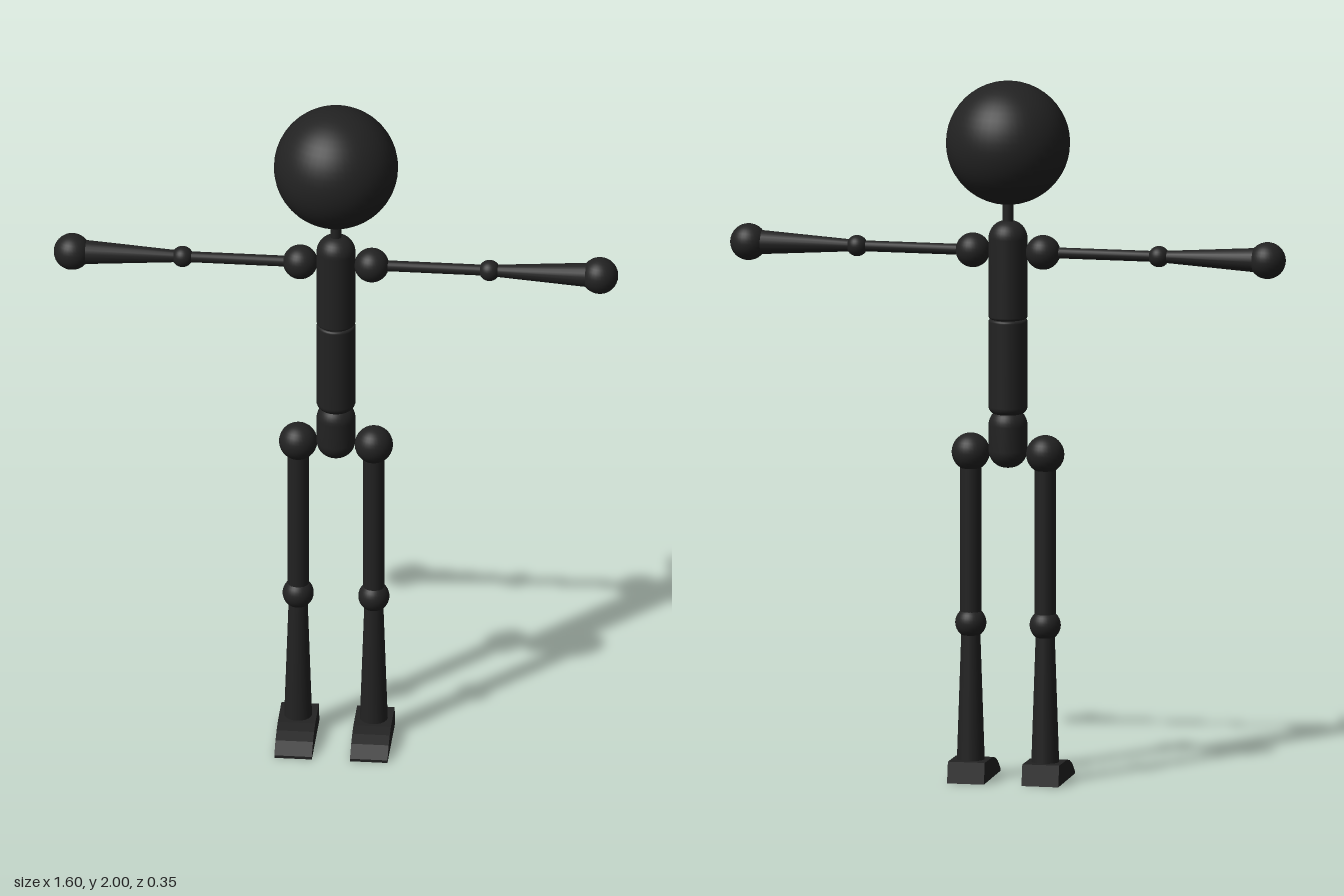
import * as THREE from 'three';

const material = new THREE.MeshStandardMaterial({ color: 0x222222 });

function add(parent, name, geometry, x = 0, y = 0, z = 0) {
  const mesh = new THREE.Mesh(geometry, material);
  mesh.name = name;
  mesh.position.set(x, y, z);
  parent.add(mesh);
  return mesh;
}

const ball = (r, n = 32) => new THREE.SphereGeometry(r, n, n / 2);

// Upright tapered rod between two heights
function rod(parent, name, x, y0, y1, r0, r1) {
  return add(parent, name, new THREE.CylinderGeometry(r1, r0, y1 - y0, 20), x, (y0 + y1) / 2);
}

// Tapered rod along x between two distances from the middle
function armRod(parent, name, side, x0, x1, r0, r1, y) {
  const mesh = add(parent, name, new THREE.CylinderGeometry(r1, r0, x1 - x0, 20), side * (x0 + x1) / 2, y);
  mesh.rotation.z = -side * Math.PI / 2;
  return mesh;
}

// Round body section with separately rounded bottom and top rims
function bodySection(y0, y1, r, bottomRound, topRound) {
  const points = [new THREE.Vector2(0, y0)];
  for (let i = 0; i <= 8; i++) {
    const a = (i / 8) * Math.PI / 2;
    points.push(new THREE.Vector2(r - bottomRound * (1 - Math.sin(a)), y0 + bottomRound * (1 - Math.cos(a))));
  }
  for (let i = 0; i <= 8; i++) {
    const a = (i / 8) * Math.PI / 2;
    points.push(new THREE.Vector2(r - topRound * (1 - Math.cos(a)), y1 - topRound * (1 - Math.sin(a))));
  }
  points.push(new THREE.Vector2(0, y1));
  return new THREE.LatheGeometry(points, 32);
}

// Wedge foot: side profile (z, y) extruded across its width
function footGeometry(width) {
  const profile = [[-0.074, 0], [0.155, 0], [0.155, 0.008], [0.118, 0.036], [0.085, 0.05], [0.05, 0.058], [-0.062, 0.06]];
  const shape = new THREE.Shape(profile.map(([z, y]) => new THREE.Vector2(z, y)));
  const geometry = new THREE.ExtrudeGeometry(shape, { depth: width, bevelEnabled: false });
  return geometry.translate(0, 0, -width / 2).rotateY(-Math.PI / 2);
}

export function createModel() {
  const model = new THREE.Group();
  model.name = 'stickFigure';

  // Head, neck and trunk
  add(model, 'head', ball(0.175, 48), 0, 1.825);
  rod(model, 'neck', 0, 1.56, 1.67, 0.016, 0.016);
  add(model, 'chest', bodySection(1.322, 1.603, 0.055, 0.008, 0.05));
  add(model, 'abdomen', bodySection(1.05, 1.322, 0.055, 0.022, 0.008));
  add(model, 'pelvis', bodySection(0.897, 1.068, 0.055, 0.05, 0.05));

  for (const side of [1, -1]) {
    // Arm held straight out
    const arm = new THREE.Group();
    arm.name = side > 0 ? 'leftArm' : 'rightArm';
    const armY = 1.515;
    add(arm, 'shoulder', ball(0.049), side * 0.101, armY);
    armRod(arm, 'upperArm', side, 0.1, 0.434, 0.0155, 0.0155, armY);
    add(arm, 'elbow', ball(0.03), side * 0.434, armY);
    armRod(arm, 'forearm', side, 0.434, 0.735, 0.016, 0.036, armY);
    add(arm, 'hand', ball(0.052), side * 0.746, armY);
    model.add(arm);

    // Leg
    const leg = new THREE.Group();
    leg.name = side > 0 ? 'leftLeg' : 'rightLeg';
    const legX = side * 0.107;
    add(leg, 'hip', ball(0.054), legX, 0.938);
    rod(leg, 'thigh', legX, 0.45, 0.938, 0.03, 0.03);
    add(leg, 'knee', ball(0.044), legX, 0.45);
    rod(leg, 'shin', legX, 0.04, 0.45, 0.04, 0.026);
    add(leg, 'foot', footGeometry(0.106), legX);
    model.add(leg);
  }

  return model;
}
